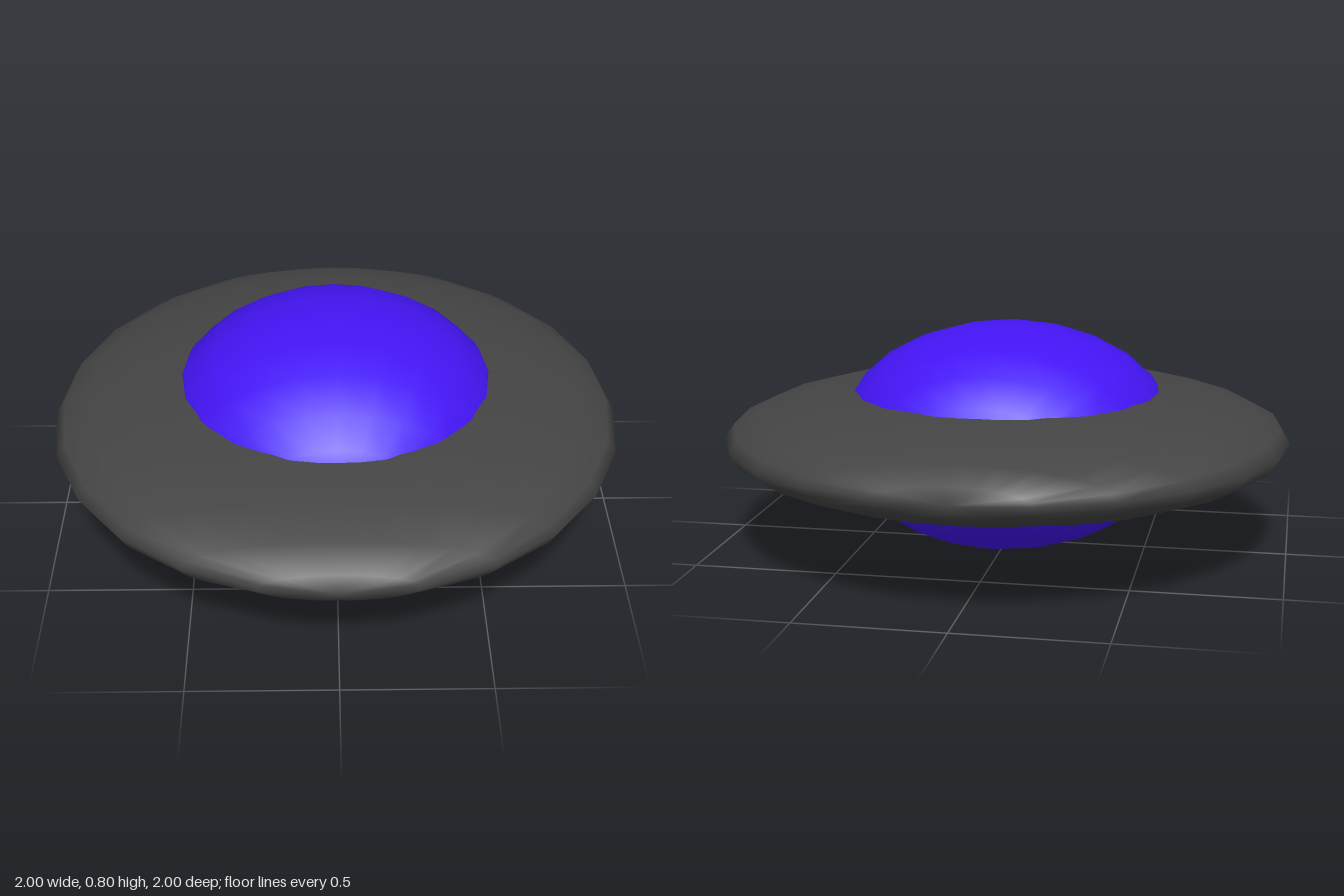
import * as THREE from 'three';

// Smooth low-segment ellipsoid with its poles along z
function ellipsoid(name, rx, ry, rz, color) {
  const geometry = new THREE.SphereGeometry(1, 24, 12);
  geometry.rotateX(Math.PI / 2);
  geometry.scale(rx, ry, rz);
  const mesh = new THREE.Mesh(geometry, new THREE.MeshStandardMaterial({ color }));
  mesh.name = name;
  mesh.position.y = 0.4;
  return mesh;
}

export function createModel() {
  const saucer = new THREE.Group();
  saucer.name = 'saucer';
  // Flat outer disc
  saucer.add(ellipsoid('disc', 1, 0.2, 1, 0x444444));
  // Central body that bulges above and below the disc
  saucer.add(ellipsoid('dome', 0.6, 0.4, 0.6, 0x4414f5));
  return saucer;
}
